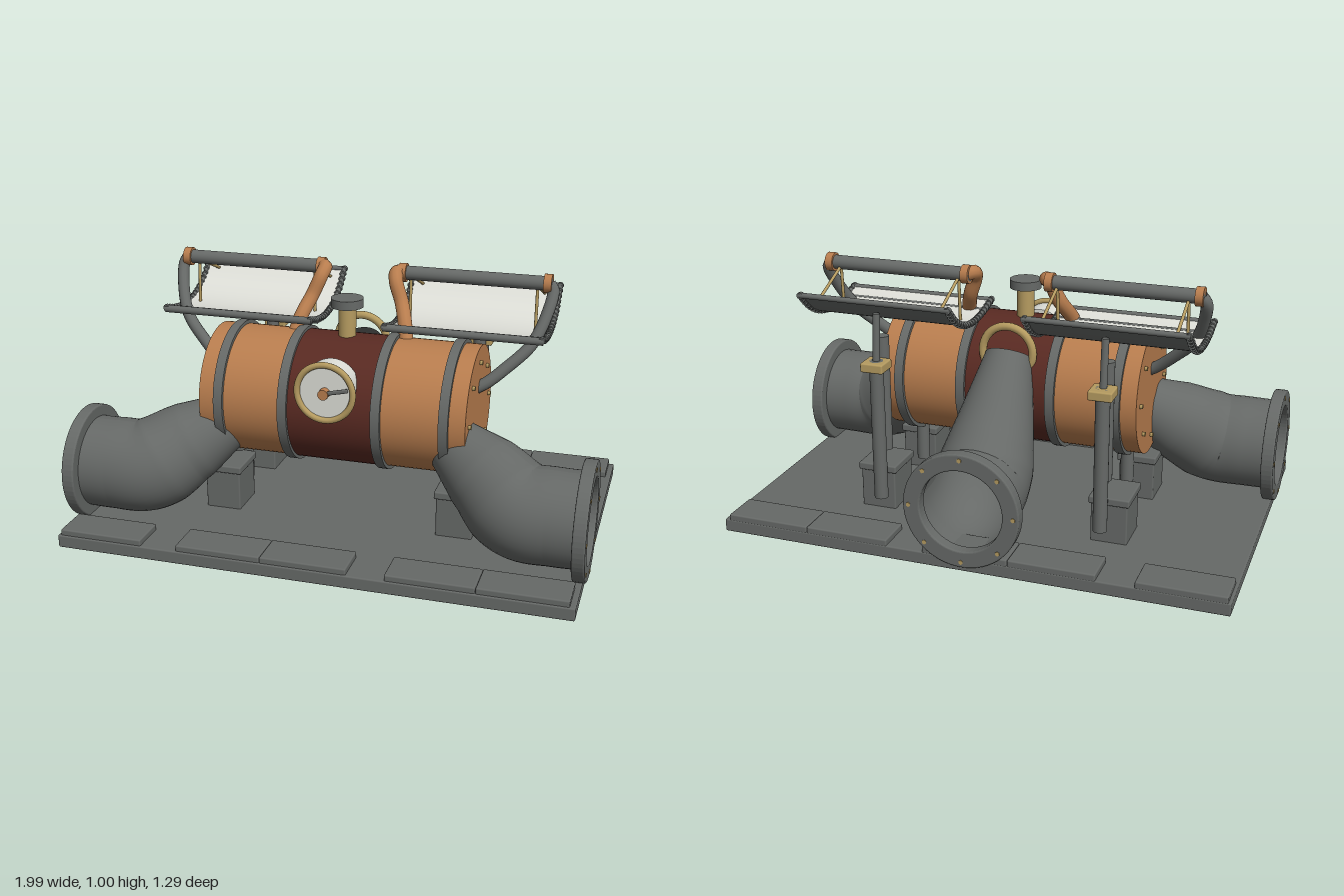
import * as THREE from 'three';
import { RoundedBoxGeometry } from 'three/addons/geometries/RoundedBoxGeometry.js';

const mat = (name, color, side = THREE.FrontSide) =>
  Object.assign(new THREE.MeshStandardMaterial({ color, side }), { name });

const V = (x, y, z) => new THREE.Vector3(x, y, z);

export function createModel() {
  const steel = mat('steel grey', 0x666967, THREE.DoubleSide);
  const copper = mat('copper', 0xb87d4e);
  const maroon = mat('maroon', 0x592a22);
  const brass = mat('brass', 0xb59b60);
  const ivory = mat('ivory', 0xdcddd6, THREE.DoubleSide);
  const model = new THREE.Group();
  model.name = 'boilerMachine';

  const add = (name, geo, material, x = 0, y = 0, z = 0) => {
    const m = new THREE.Mesh(geo, material);
    m.name = name;
    m.position.set(x, y, z);
    model.add(m);
    return m;
  };
  const box = (name, material, w, h, d, x, y, z) =>
    add(name, new RoundedBoxGeometry(w, h, d, 2, 0.006), material, x, y, z);
  // Cylinder lying along the chosen axis
  const cyl = (name, material, r, len, axis, x, y, z, seg = 32) => {
    const g = new THREE.CylinderGeometry(r, r, len, seg);
    if (axis === 'x') g.rotateZ(Math.PI / 2);
    if (axis === 'z') g.rotateX(Math.PI / 2);
    return add(name, g, material, x, y, z);
  };
  const tube = (name, material, pts, r, seg = 40) =>
    add(name, new THREE.TubeGeometry(new THREE.CatmullRomCurve3(pts), seg, r, 12), material);
  // Tube whose radius follows a list of values along its length
  const taperedTube = (name, pts, radii) => {
    const seg = 48, sides = 40, curve = new THREE.CatmullRomCurve3(pts);
    const g = new THREE.TubeGeometry(curve, seg, 1, sides);
    const pos = g.attributes.position, p = V(0, 0, 0);
    for (let i = 0; i <= seg; i++) {
      const c = curve.getPointAt(i / seg);
      const f = (i / seg) * (radii.length - 1), k = Math.min(Math.floor(f), radii.length - 2);
      const r = THREE.MathUtils.lerp(radii[k], radii[k + 1], f - k);
      for (let j = 0; j <= sides; j++) {
        const n = i * (sides + 1) + j;
        p.fromBufferAttribute(pos, n).sub(c).multiplyScalar(r).add(c);
        pos.setXYZ(n, p.x, p.y, p.z);
      }
    }
    g.computeVertexNormals();
    add(name, g, steel);
  };
  // Bolted ring flange, facing along dir
  const flange = (name, center, dir) => {
    const g = new THREE.Group();
    g.name = name;
    const hole = new THREE.Shape().absarc(0, 0, 0.216, 0, Math.PI * 2);
    hole.holes.push(new THREE.Path().absarc(0, 0, 0.164, 0, Math.PI * 2, true));
    const ring = new THREE.Mesh(new THREE.ExtrudeGeometry(hole, {
      depth: 0.036, bevelSize: 0.006, bevelThickness: 0.006, bevelSegments: 3, curveSegments: 32,
    }), steel);
    ring.name = 'flangeRing';
    ring.position.z = -0.045;
    g.add(ring);
    for (let i = 0; i < 8; i++) {
      const a = (i * Math.PI) / 4;
      const b = new THREE.Mesh(new THREE.CylinderGeometry(0.009, 0.009, 0.012, 6).rotateX(Math.PI / 2), brass);
      b.name = 'flangeBolt';
      b.position.set(0.2 * Math.cos(a), 0.2 * Math.sin(a), -0.006);
      g.add(b);
    }
    g.position.copy(center);
    g.quaternion.setFromUnitVectors(V(0, 0, 1), dir);
    model.add(g);
  };

  // Base plate with raised tread slabs
  box('basePlate', steel, 1.96, 0.05, 1.28, 0, 0.025, 0.01);
  for (const x of [-0.805, -0.335, -0.005, 0.465, 0.795])
    for (const z of [0.57, -0.555]) box('treadSlab', steel, 0.328, 0.03, 0.148, x, 0.058, z);

  // Boiler drum
  const by = 0.514, bz = 0.08;
  cyl('drumCentre', maroon, 0.25, 0.34, 'x', 0, by, bz, 64);

  // Gauge on the front
  const gy = 0.63;
  cyl('gaugeBody', ivory, 0.1, 0.1, 'z', 0, gy, 0.316, 48);
  add('gaugeRim', new THREE.TorusGeometry(0.107, 0.012, 10, 48), brass, 0, gy, 0.37);
  cyl('gaugeKnob', copper, 0.02, 0.03, 'z', 0, gy, 0.38, 16);
  const needle = box('gaugeNeedle', steel, 0.1, 0.016, 0.012, 0.045, gy + 0.012, 0.385);
  needle.rotation.z = 0.22;

  // Filler neck and cap
  cyl('fillerNeck', brass, 0.034, 0.14, 'y', 0, 0.81, bz);
  cyl('fillerCap', steel, 0.062, 0.034, 'y', 0, 0.893, bz);

  // Rear exhaust pipe with its collar
  taperedTube('rearPipe', [V(0, 0.245, -0.63), V(0, 0.245, -0.53), V(0, 0.26, -0.43),
    V(0, 0.38, -0.315), V(0, 0.53, -0.205), V(0, 0.66, -0.115)], [0.178, 0.182, 0.178, 0.15, 0.12, 0.09]);
  flange('rearFlange', V(0, 0.242, -0.645), V(0, 0, -1));
  add('rearCollar', new THREE.TorusGeometry(0.1, 0.016, 10, 40), brass, 0, 0.68, -0.13);

  // Canopy cross-section in y and z
  const arc = new THREE.CatmullRomCurve3([V(0, 0.81, 0.085), V(0, 0.787, 0), V(0, 0.777, -0.1),
    V(0, 0.79, -0.2), V(0, 0.83, -0.29), V(0, 0.895, -0.365)]);
  const canopySheet = (lift) => {
    const g = new THREE.PlaneGeometry(0.6, 1, 1, 24), pos = g.attributes.position;
    for (let i = 0; i < pos.count; i++) {
      const p = arc.getPointAt(0.5 - pos.getY(i));
      pos.setXYZ(i, pos.getX(i), p.y + lift, p.z);
    }
    g.computeVertexNormals();
    return g;
  };

  for (const s of [1, -1]) {
    // Drum side, hoops and end bolts
    cyl('drumSide', copper, 0.248, 0.345, 'x', s * 0.3425, by, bz, 64);
    for (const x of [0.18, 0.435]) cyl('drumHoop', steel, 0.262, 0.036, 'x', s * x, by, bz, 64);
    for (let i = 0; i < 8; i++) {
      const a = (i * Math.PI) / 4;
      cyl('endBolt', brass, 0.009, 0.016, 'x', s * 0.518, by + 0.187 * Math.sin(a), bz + 0.187 * Math.cos(a), 8);
    }

    // Side pipe
    taperedTube('sidePipe', [V(s * 0.97, 0.24, 0.347), V(s * 0.85, 0.24, 0.347), V(s * 0.73, 0.245, 0.34),
      V(s * 0.6, 0.32, 0.27), V(s * 0.45, 0.41, 0.2)], [0.178, 0.18, 0.18, 0.155, 0.11]);
    flange('sideFlange', V(s * 0.994, 0.24, 0.347), V(s, 0, 0));

    // Footing blocks and legs
    for (const z of [-0.25, 0.16]) {
      box('footing', steel, 0.14, 0.16, 0.165, s * 0.465, 0.125, z);
      box('footingLid', steel, 0.155, 0.03, 0.18, s * 0.465, 0.217, z);
    }
    cyl('drumLeg', steel, 0.026, 0.2, 'y', s * 0.435, 0.21, 0.045, 20);

    // Rear posts and clamp
    cyl('rearPost', steel, 0.027, 0.56, 'y', s * 0.44, 0.39, -0.362, 20);
    cyl('shortPost', steel, 0.025, 0.46, 'y', s * 0.44, 0.52, -0.3, 20);
    box('postClamp', brass, 0.09, 0.036, 0.09, s * 0.44, 0.652, -0.365);
    tube('postTip', steel, [V(s * 0.44, 0.64, -0.362), V(s * 0.44, 0.85, -0.345)], 0.014, 2);

    // Curved canopy: pale upper face, grey underside, rim
    const cx = s * 0.443;
    add('canopyTop', canopySheet(0.005), ivory, cx);
    add('canopyUnderside', canopySheet(-0.004), steel, cx);
    for (const x of [0.146, 0.74]) {
      const edge = arc.getSpacedPoints(20).map((p) => V(s * x, p.y, p.z));
      tube('canopySideRim', steel, edge, 0.01);
      for (const p of edge) cyl('rimBead', steel, 0.013, 0.016, 'z', p.x, p.y, p.z, 10);
    }
    cyl('canopyFrontRim', steel, 0.015, 0.605, 'x', cx, 0.805, 0.083, 12);
    cyl('canopyFrontRail', steel, 0.012, 0.605, 'x', cx, 0.785, 0.01, 12);
    cyl('canopyRearRim', steel, 0.011, 0.605, 'x', cx, 0.895, -0.365, 12);

    // Overhead bar, collars and brass stays
    cyl('overheadBar', steel, 0.027, 0.59, 'x', s * 0.445, 0.967, -0.125, 24);
    cyl('barCollar', copper, 0.036, 0.03, 'x', s * 0.725, 0.967, -0.125, 24);
    cyl('barCollar', copper, 0.036, 0.03, 'x', s * 0.165, 0.967, -0.125, 24);
    for (const x of [0.195, 0.685]) {
      tube('canopyStay', brass, [V(s * x, 0.955, -0.13), V(s * x, 0.868, -0.335)], 0.006, 2);
      tube('canopyStay', brass, [V(s * x, 0.955, -0.13), V(s * x, 0.78, -0.12)], 0.006, 2);
    }

    // Feed pipes from the bar ends to the drum
    tube('innerFeedPipe', copper, [V(s * 0.17, 0.967, -0.125), V(s * 0.145, 0.972, -0.105),
      V(s * 0.15, 0.945, -0.07), V(s * 0.18, 0.87, -0.045), V(s * 0.208, 0.8, 0.01), V(s * 0.225, 0.73, 0.05)], 0.028);
    tube('outerFeedPipe', steel, [V(s * 0.73, 0.967, -0.125), V(s * 0.745, 0.945, -0.12), V(s * 0.735, 0.87, -0.075),
      V(s * 0.69, 0.76, -0.01), V(s * 0.6, 0.67, 0.04), V(s * 0.54, 0.62, 0.065), V(s * 0.49, 0.59, 0.075)], 0.023);
  }
  return model;
}
